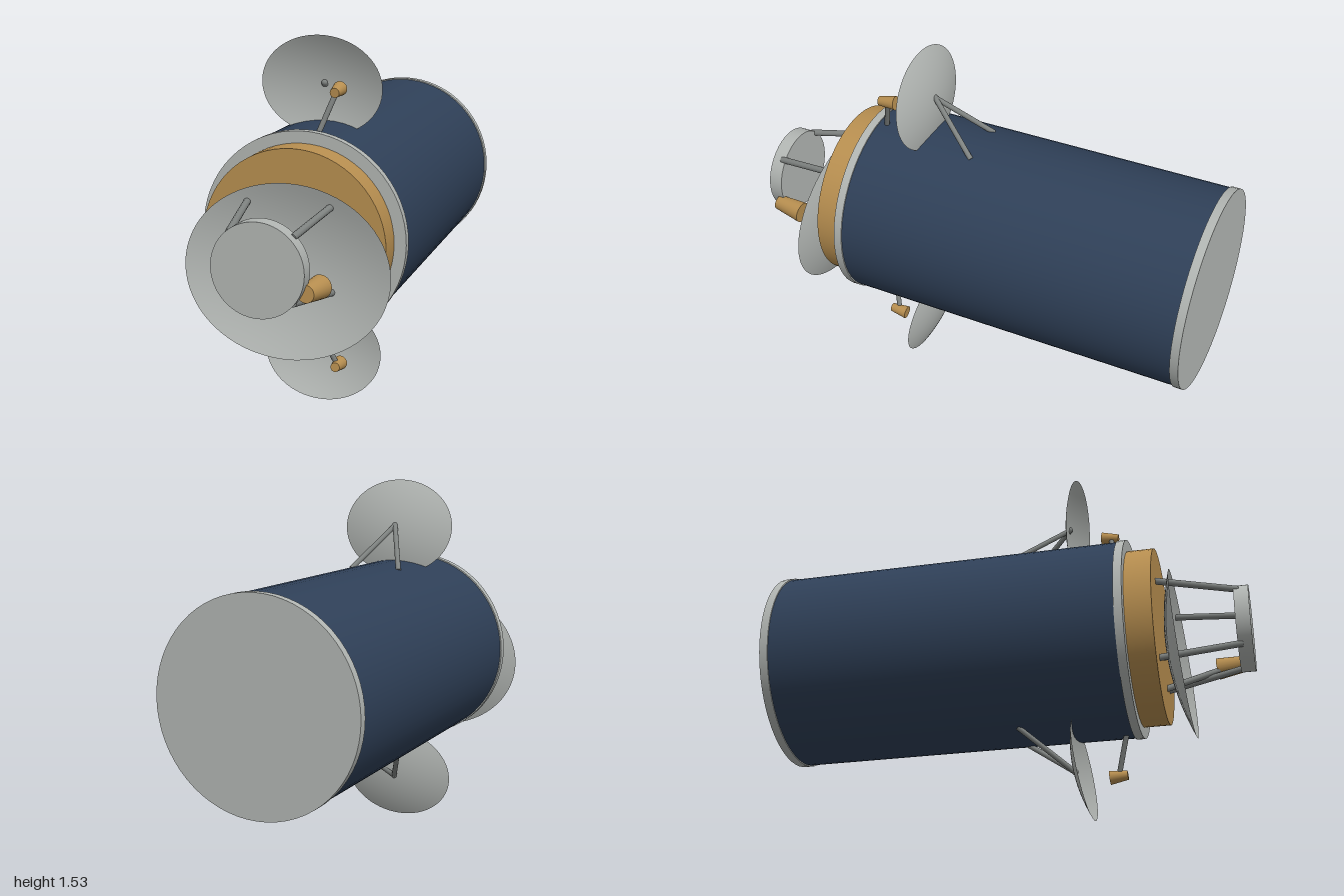
import * as THREE from 'three';

const material = (name, color, extra = {}) => {
  const m = new THREE.MeshStandardMaterial({ color, ...extra });
  m.name = name;
  return m;
};

export function createModel() {
  const group = new THREE.Group();
  const AXIS_Y = 0.78;
  const navy = material('navyBlanket', 0x2f4058);
  const grey = material('lightGrey', 0xb2b6b3, { side: THREE.DoubleSide });
  const gold = material('goldFoil', 0xb88f50);
  const steel = material('strutGrey', 0x7e8280);

  const add = (parent, name, geometry, mat) => {
    const mesh = new THREE.Mesh(geometry, mat);
    mesh.name = name;
    parent.add(mesh);
    return mesh;
  };

  // Tapered cylinder running from point a to point b
  const rod = (parent, name, a, b, ra, rb, mat, sides = 12) => {
    const start = new THREE.Vector3(...a), end = new THREE.Vector3(...b);
    const dir = end.clone().sub(start);
    const mesh = add(parent, name, new THREE.CylinderGeometry(rb, ra, dir.length(), sides), mat);
    mesh.position.copy(start).add(end).multiplyScalar(0.5);
    mesh.quaternion.setFromUnitVectors(new THREE.Vector3(0, 1, 0), dir.normalize());
    return mesh;
  };

  // Drum centred on the long axis between two z values
  const drum = (name, z0, z1, r, mat) =>
    rod(group, name, [0, AXIS_Y, z0], [0, AXIS_Y, z1], r, r, mat, 64);

  // Thin parabolic shell with an elliptical rim, opening toward +z
  const dish = (parent, name, rx, ry, depth, position, tilt) => {
    const profile = [];
    for (let i = 0; i <= 12; i++) {
      const t = i / 12;
      profile.push(new THREE.Vector2(t, depth * t * t));
    }
    const geometry = new THREE.LatheGeometry(profile, 64);
    geometry.rotateX(Math.PI / 2);
    geometry.scale(rx, ry, 1);
    const mesh = add(parent, name, geometry, grey);
    mesh.position.set(...position);
    mesh.rotation.x = tilt;
    return mesh;
  };

  // Main body, end rings and front deck
  drum('body', -0.97, 0.49, 0.415, navy);
  drum('rearRing', -1, -0.965, 0.42, grey);
  drum('frontRing', 0.485, 0.52, 0.42, grey);
  drum('frontDeck', 0.51, 0.63, 0.372, gold);

  // Large front dish with its mounting peg
  dish(group, 'mainDish', 0.415, 0.342, 0.067, [0, 0.685, 0.645], -0.073);
  rod(group, 'mainDishPeg', [0, 0.685, 0.62], [0, 0.685, 0.652], 0.013, 0.013, steel);

  // Subreflector held on four struts
  drum('subreflector', 0.94, 1, 0.18, grey);
  for (const sx of [-1, 1]) {
    for (const sy of [-1, 1]) {
      rod(group, 'subreflectorStrut',
        [sx * 0.175, AXIS_Y + sy * 0.175, 0.62],
        [sx * 0.122, AXIS_Y + sy * 0.122, 0.96], 0.014, 0.014, steel);
    }
  }

  // Main feed horn and its arm
  rod(group, 'mainFeedHorn', [0.183, 0.69, 0.838], [0.172, 0.7, 0.967], 0.046, 0.033, gold, 24);
  rod(group, 'mainFeedArm', [0.07, 0.57, 0.62], [0.165, 0.68, 0.865], 0.014, 0.014, steel);

  // Small dish assemblies, mirrored above and below the body
  for (const s of [1, -1]) {
    const side = new THREE.Group();
    side.name = s > 0 ? 'upperAntenna' : 'lowerAntenna';
    group.add(side);
    const y = (h) => AXIS_Y + s * h;
    dish(side, 'smallDish', 0.253, 0.207, 0.04, [0, y(0.565), 0.243], s * 0.13);

    const hub = add(side, 'dishHub', new THREE.SphereGeometry(0.013, 12, 8), steel);
    hub.position.set(0, y(0.568), 0.245);
    for (const sx of [-1, 1]) {
      rod(side, 'dishStrut', [sx * 0.11, y(0.395), 0.03], [0, y(0.568), 0.245], 0.011, 0.011, steel);
    }

    rod(side, 'feedArm', [0.045, y(0.4), 0.455], [0.105, y(0.562), 0.408], 0.011, 0.011, steel);
    rod(side, 'feedHorn', [0.106, y(0.567), 0.37], [0.108, y(0.56), 0.445], 0.029, 0.019, gold, 24);
  }

  return group;
}
